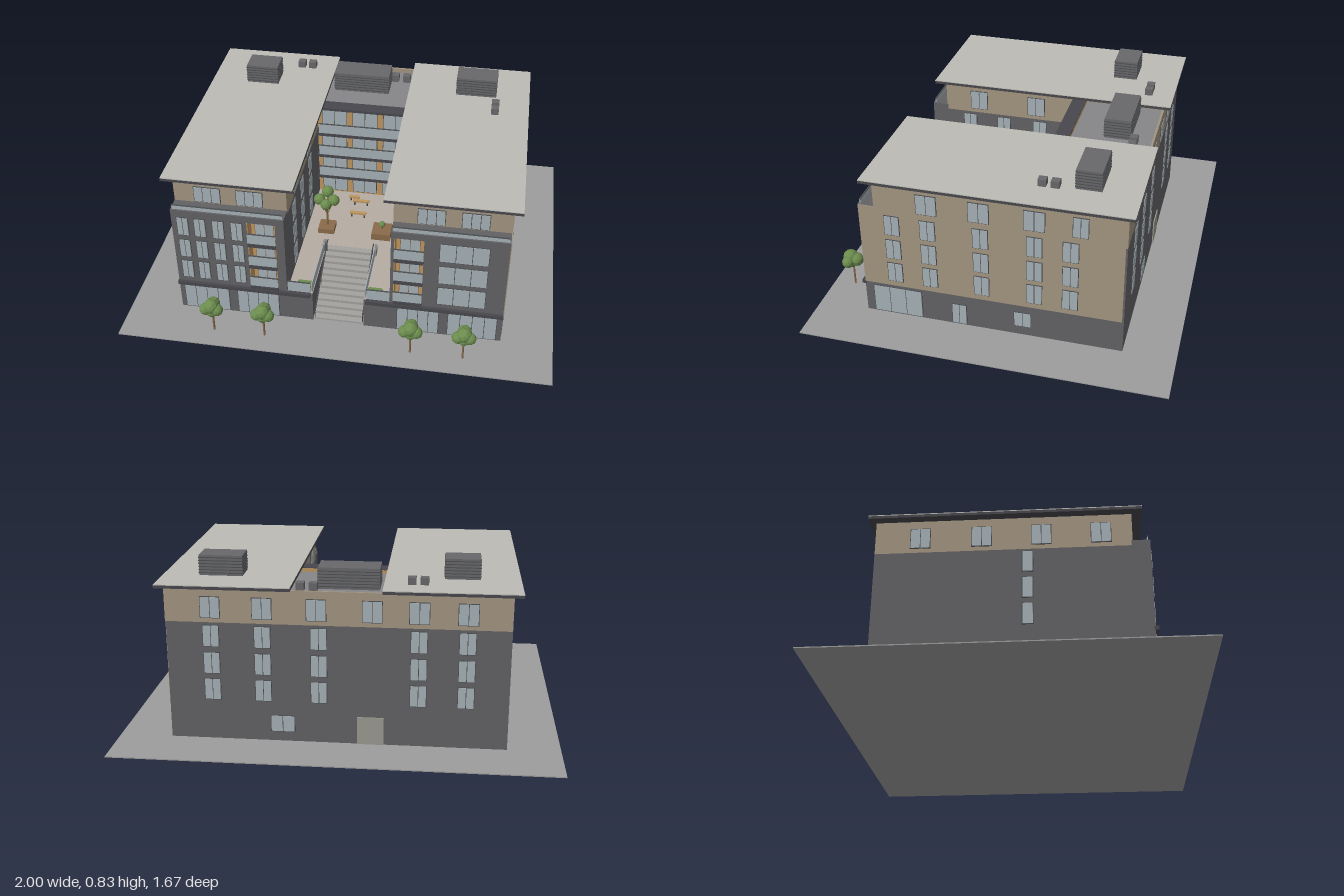
import * as THREE from 'three';

const mat = (color, extra = {}) => new THREE.MeshStandardMaterial({ color, ...extra });
const DARK = mat(0x626265), TAN = mat(0xa39480), ORANGE = mat(0xbd9660), GLASS = mat(0xa5b0b5),
  FASCIA = mat(0x47474d), ROOF = mat(0xbcbbb4), GREY = mat(0x868688), MECH = mat(0x68686b),
  GROUND = mat(0x9d9d9d), PAVING = mat(0xb5aca2), STAIR = mat(0xa3a29f), FRAME = mat(0x4d4f52),
  WOOD = mat(0x8a6b4a), LEAF = mat(0x6c8c4e, { flatShading: true }), DOOR = mat(0x9b9a90);

// Box given by its minimum and maximum on each axis
function box(parent, name, m, x0, x1, y0, y1, z0, z1) {
  const mesh = new THREE.Mesh(new THREE.BoxGeometry(x1 - x0, y1 - y0, z1 - z0), m);
  mesh.position.set((x0 + x1) / 2, (y0 + y1) / 2, (z0 + z1) / 2);
  mesh.name = name;
  parent.add(mesh);
  return mesh;
}

// Upright block extruded from a plan of [x, z] corners
function planBlock(parent, name, m, plan, y0, y1) {
  const shape = new THREE.Shape(plan.map(([x, z]) => new THREE.Vector2(x, -z)));
  const geo = new THREE.ExtrudeGeometry(shape, { depth: y1 - y0, bevelEnabled: false }).rotateX(-Math.PI / 2);
  const mesh = new THREE.Mesh(geo, m);
  mesh.position.y = y0;
  mesh.name = name;
  parent.add(mesh);
}

// Group lying on a wall: local x runs along the wall, local z points outward
function wall(parent, name, angle, x, z) {
  const g = new THREE.Group();
  g.name = name;
  g.rotation.y = angle;
  g.position.set(x, 0, z);
  parent.add(g);
  return g;
}

// Framed window with equal panes
function glazing(parent, x0, x1, y0, y1, panes = 2, frame = FRAME) {
  const g = new THREE.Group(), t = 0.003, w = (x1 - x0 - t) / panes;
  g.name = 'window';
  box(g, 'windowFrame', frame, x0, x1, y0, y1, -0.005, 0.003);
  for (let i = 0; i < panes; i++)
    box(g, 'windowPane', GLASS, x0 + t + i * w, x0 + (i + 1) * w, y0 + t, y1 - t, 0, 0.005);
  parent.add(g);
}

const FLOORS = [0.195, 0.32, 0.447];
const columns = (parent, xs, w, y, h, panes = 2) =>
  xs.forEach(x => glazing(parent, x - w / 2, x + w / 2, y, y + h, panes));
const storeys = (parent, xs, w, panes) => FLOORS.forEach(y => columns(parent, xs, w, y, 0.102, panes));

// Glass balustrade with a top rail
function balustrade(parent, x0, x1, y, h, z0, z1) {
  box(parent, 'balustradeGlass', GLASS, x0, x1, y, y + h, z0, z1);
  box(parent, 'balustradeRail', FRAME, x0 - 0.001, x1 + 0.001, y + h, y + h + 0.003, z0 - 0.001, z1 + 0.001);
}

// Rooftop unit with louvre strips
function roofUnit(parent, x0, x1, y0, y1, z0, z1) {
  const g = new THREE.Group();
  g.name = 'roofUnit';
  box(g, 'unitBody', MECH, x0, x1, y0, y1, z0, z1);
  if (x1 - x0 > 0.1) for (let y = y0 + 0.01; y < y1 - 0.005; y += 0.014)
    box(g, 'unitLouvre', FRAME, x0 - 0.002, x1 + 0.002, y, y + 0.004, z0 - 0.002, z1 + 0.002);
  parent.add(g);
}

function rod(parent, name, m, a, b, r) {
  const path = new THREE.LineCurve3(new THREE.Vector3(...a), new THREE.Vector3(...b));
  const mesh = new THREE.Mesh(new THREE.TubeGeometry(path, 1, r, 6), m);
  mesh.name = name;
  parent.add(mesh);
}

// Tree with a crown of faceted balls, each [x, y, z, radius] from the foot
function tree(parent, x, y, z, trunk, balls, branches) {
  const g = new THREE.Group();
  g.name = 'tree';
  g.position.set(x, y, z);
  rod(g, 'trunk', WOOD, [0, 0, 0], [0, trunk, 0], 0.005);
  for (const [bx, by, bz, r] of balls) {
    const ball = new THREE.Mesh(new THREE.IcosahedronGeometry(r, 1), LEAF);
    ball.position.set(bx, by, bz);
    ball.name = 'foliage';
    g.add(ball);
    if (branches) rod(g, 'branch', WOOD, [0, trunk, 0], [bx, by, bz], 0.003);
  }
  parent.add(g);
}

function wing(parent, s) {
  const g = new THREE.Group();
  g.name = s > 0 ? 'leftWing' : 'rightWing';
  const span = (a, b) => (s > 0 ? [a, b] : [-b, -a]);
  const [x0, x1] = span(0.24, 0.76), [b0, b1] = s > 0 ? [0.255, 0.387] : [-0.41, -0.28];
  // Lower storeys with a balcony recess in the front
  planBlock(g, 'lowerStoreys', DARK, [[x0, -0.6], [x0, 0.6], [b0, 0.6], [b0, 0.54], [b1, 0.54],
    [b1, 0.6], [x1, 0.6], [x1, -0.6]], 0.165, 0.56);
  box(g, 'terraceEdge', DARK, x0, x1, 0.552, 0.585, 0.52, 0.6);
  box(g, 'penthouse', TAN, x0, x1, 0.56, 0.722, -0.6, 0.525);
  // Overhanging roof
  const [r0, r1] = span(0.2, 0.8);
  box(g, 'roofFascia', FASCIA, r0, r1, 0.718, 0.731, -0.63, 0.57);
  box(g, 'roofTop', ROOF, r0, r1, 0.731, 0.735, -0.63, 0.57);
  balustrade(g, x0 + 0.006, x1 - 0.006, 0.585, 0.02, 0.587, 0.592);
  // Balconies
  const recess = wall(g, 'balconyWall', 0, 0, 0.541);
  for (const y of FLOORS) {
    box(g, 'balconyBack', ORANGE, b0, b1, y - 0.015, y + 0.105, 0.535, 0.542);
    for (const x of [b0, b1 - 0.004]) box(g, 'balconyCheek', ORANGE, x, x + 0.004, y - 0.015, y + 0.105, 0.54, 0.602);
    glazing(recess, b0 + 0.02, b1 - 0.02, y - 0.01, y + 0.088, 2, WOOD);
    box(g, 'balconySlab', FASCIA, b0, b1, y - 0.024, y - 0.006, 0.54, 0.612);
    balustrade(g, b0, b1, y - 0.004, 0.052, 0.606, 0.61);
  }
  // Front windows
  const front = wall(g, 'frontWindows', 0, 0, 0.6);
  if (s > 0) storeys(front, [0.565], 0.22, 3);
  else storeys(front, [-0.708, -0.628, -0.543, -0.457], 0.055, 2);
  const shops = s > 0 ? [[0.275, 0.47], [0.51, 0.737]] : [[-0.737, -0.52], [-0.48, -0.28]];
  for (const [a, b] of shops) glazing(front, a, b, 0.01, 0.147, 4);
  columns(wall(g, 'penthouseWindows', 0, 0, 0.525), s > 0 ? [0.408, 0.602] : [-0.605, -0.41], 0.124, 0.59, 0.083, 3);
  // Courtyard windows
  const court = wall(g, 'courtWindows', -s * Math.PI / 2, s * 0.24, 0);
  storeys(court, [0.4, 0.22, 0.03].map(z => s * z), 0.07, 2);
  columns(court, [0.35, 0.05].map(z => s * z), 0.09, 0.58, 0.1, 2);
  // Canopy over the shops
  const [c0, c1] = span(0.13, 0.762);
  box(g, 'canopy', FASCIA, c0, c1, 0.152, 0.17, 0.595, 0.615);
  parent.add(g);
}

export function createModel() {
  const model = new THREE.Group();
  box(model, 'ground', GROUND, -1, 1, 0, 0.005, -0.84, 0.835);

  // Ground floor with a slot for the stairs
  const slot = [[-0.12, 0.6], [-0.12, 0.24], [0.12, 0.24], [0.12, 0.6]];
  planBlock(model, 'groundFloor', DARK, [[-0.76, -0.6], [-0.76, 0.6], ...slot, [0.76, 0.6], [0.76, -0.6]], 0.004, 0.166);
  planBlock(model, 'courtPaving', PAVING, [[-0.24, -0.205], [-0.24, 0.595], [-0.12, 0.595], [-0.12, 0.24],
    [0.12, 0.24], [0.12, 0.595], [0.24, 0.595], [0.24, -0.205]], 0.166, 0.169);
  wing(model, 1);
  wing(model, -1);

  // Side and back walls
  box(model, 'sideCladding', TAN, 0.755, 0.764, 0.168, 0.584, -0.592, 0.598);
  box(model, 'sideCladdingTop', TAN, 0.755, 0.764, 0.56, 0.72, -0.6, 0.524);
  const side = wall(model, 'leftSideWindows', Math.PI / 2, 0.764, 0);
  storeys(side, [-0.445, -0.28, -0.04, 0.2, 0.36], 0.072, 2);
  columns(side, [-0.28, -0.045, 0.2], 0.095, 0.58, 0.1, 2);
  columns(side, [0.4], 0.07, 0.58, 0.1, 2);
  const sideBase = wall(model, 'leftSideBaseWindows', Math.PI / 2, 0.76, 0);
  glazing(sideBase, -0.56, -0.327, 0.01, 0.154, 3);
  glazing(sideBase, -0.185, -0.115, 0.01, 0.118, 2);
  glazing(sideBase, 0.105, 0.185, 0.052, 0.13, 2);
  const blind = wall(model, 'rightSideWindows', -Math.PI / 2, -0.76, 0);
  storeys(blind, [0.07], 0.05, 1);
  columns(blind, [-0.4, -0.13, 0.13, 0.39], 0.09, 0.58, 0.1, 2);
  const back = wall(model, 'backWindows', Math.PI, 0, -0.6);
  storeys(back, [-0.56, -0.33, -0.08, 0.36, 0.57], 0.075, 2);
  columns(back, [-0.56, -0.33, -0.09, 0.155, 0.36, 0.57], 0.09, 0.58, 0.1, 2);
  glazing(back, -0.3, -0.19, 0.05, 0.13, 2);
  box(back, 'backDoor', DOOR, 0.09, 0.21, 0.005, 0.135, -0.005, 0.005);

  // Middle block with full-width balconies over the court
  box(model, 'middleStoreys', DARK, -0.24, 0.24, 0.165, 0.56, -0.6, -0.21);
  box(model, 'middleTop', TAN, -0.24, 0.24, 0.56, 0.69, -0.6, -0.21);
  box(model, 'middleRoof', GREY, -0.24, 0.24, 0.688, 0.694, -0.598, -0.205);
  box(model, 'backParapet', TAN, -0.24, 0.24, 0.69, 0.715, -0.6, -0.59);
  box(model, 'middleFront', ORANGE, -0.24, 0.24, 0.168, 0.712, -0.212, -0.205);
  box(model, 'middleEave', FASCIA, -0.24, 0.24, 0.703, 0.716, -0.212, -0.145);
  const middle = wall(model, 'middleWindows', 0, 0, -0.205);
  for (const y of [0.172, 0.308, 0.437, 0.566]) {
    columns(middle, [-0.155, 0, 0.155], 0.127, y + 0.005, 0.1, 2);
    if (y < 0.2) continue;
    box(model, 'middleSlab', FASCIA, -0.235, 0.235, y - 0.016, y, -0.207, -0.145);
    balustrade(model, -0.225, 0.222, y, 0.052, -0.152, -0.147);
  }

  // Rooftop plant
  roofUnit(model, -0.62, -0.462, 0.735, 0.828, -0.42, -0.305);
  roofUnit(model, 0.438, 0.635, 0.735, 0.828, -0.46, -0.345);
  roofUnit(model, -0.18, 0.096, 0.694, 0.792, -0.487, -0.362);
  for (const x of [-0.395, -0.34]) roofUnit(model, x, x + 0.037, 0.735, 0.767, -0.525, -0.488);
  for (const x of [0.095, 0.153]) roofUnit(model, x, x + 0.037, 0.694, 0.73, -0.525, -0.488);
  for (const z of [-0.28, -0.222]) roofUnit(model, 0.618, 0.655, 0.735, 0.767, z, z + 0.037);

  // Entrance stairs
  const n = 12, run = 0.352 / n;
  for (let i = 0; i < n; i++)
    box(model, 'step', STAIR, -0.12, 0.12, 0.004, 0.168 * (i + 1) / n, 0.592 - (i + 1) * run, 0.592 - i * run);
  for (const s of [-1, 1]) {
    rod(model, 'handrail', FRAME, [s * 0.113, 0.05, 0.59], [s * 0.113, 0.205, 0.27], 0.003);
    rod(model, 'handrailEnd', FRAME, [s * 0.113, 0.205, 0.27], [s * 0.113, 0.205, 0.24], 0.003);
    for (const t of [0, 0.5, 1])
      rod(model, 'railPost', FRAME, [s * 0.113, 0.155 * t, 0.588 - 0.318 * t], [s * 0.113, 0.05 + 0.155 * t, 0.588 - 0.318 * t], 0.002);
    // Podium edge: planters, posts and glass
    const px = s * 0.166;
    box(model, 'planter', PAVING, px - 0.035, px + 0.035, 0.168, 0.182, 0.534, 0.585);
    box(model, 'hedge', LEAF, px - 0.033, px + 0.033, 0.182, 0.192, 0.536, 0.583);
    box(model, 'stairPost', GREY, s * 0.127 - 0.006, s * 0.127 + 0.006, 0.168, 0.205, 0.24, 0.29);
    balustrade(model, s * 0.185 - 0.053, s * 0.185 + 0.053, 0.168, 0.055, 0.589, 0.593);
    box(model, 'stairGlass', GLASS, s * 0.125 - 0.002, s * 0.125 + 0.002, 0.168, 0.222, 0.29, 0.59);
  }

  // Courtyard benches, planters and trees
  for (const [x0, x1, z] of [[-0.07, -0.015, -0.138], [-0.045, 0.038, -0.106], [-0.045, 0.038, -0.006]]) {
    box(model, 'benchSeat', ORANGE, x0, x1, 0.188, 0.197, z - 0.009, z + 0.009);
    for (const x of [x0 + 0.006, x1 - 0.012]) box(model, 'benchLeg', FRAME, x, x + 0.006, 0.168, 0.188, z - 0.007, z + 0.007);
  }
  box(model, 'treePlanter', WOOD, 0.09, 0.183, 0.168, 0.205, 0.07, 0.165);
  tree(model, 0.137, 0.2, 0.115, 0.02, [[0, 0.032, 0, 0.016]], false);
  box(model, 'treePlanter', WOOD, -0.18, -0.1, 0.168, 0.195, 0.075, 0.155);
  tree(model, -0.14, 0.19, 0.11, 0.07, [[-0.035, 0.165, 0.01, 0.029], [0.036, 0.165, 0.008, 0.029],
    [0, 0.188, -0.028, 0.03], [0, 0.15, 0.03, 0.028]], true);

  // Street trees
  for (const x of [-0.565, -0.325, 0.355, 0.595])
    tree(model, x, 0.004, 0.735, 0.11, [[-0.027, 0.14, 0.014, 0.029], [0.027, 0.14, 0.014, 0.029],
      [0, 0.145, -0.02, 0.033], [0, 0.155, 0.01, 0.036], [0, 0.125, 0.01, 0.028]], false);
  return model;
}
